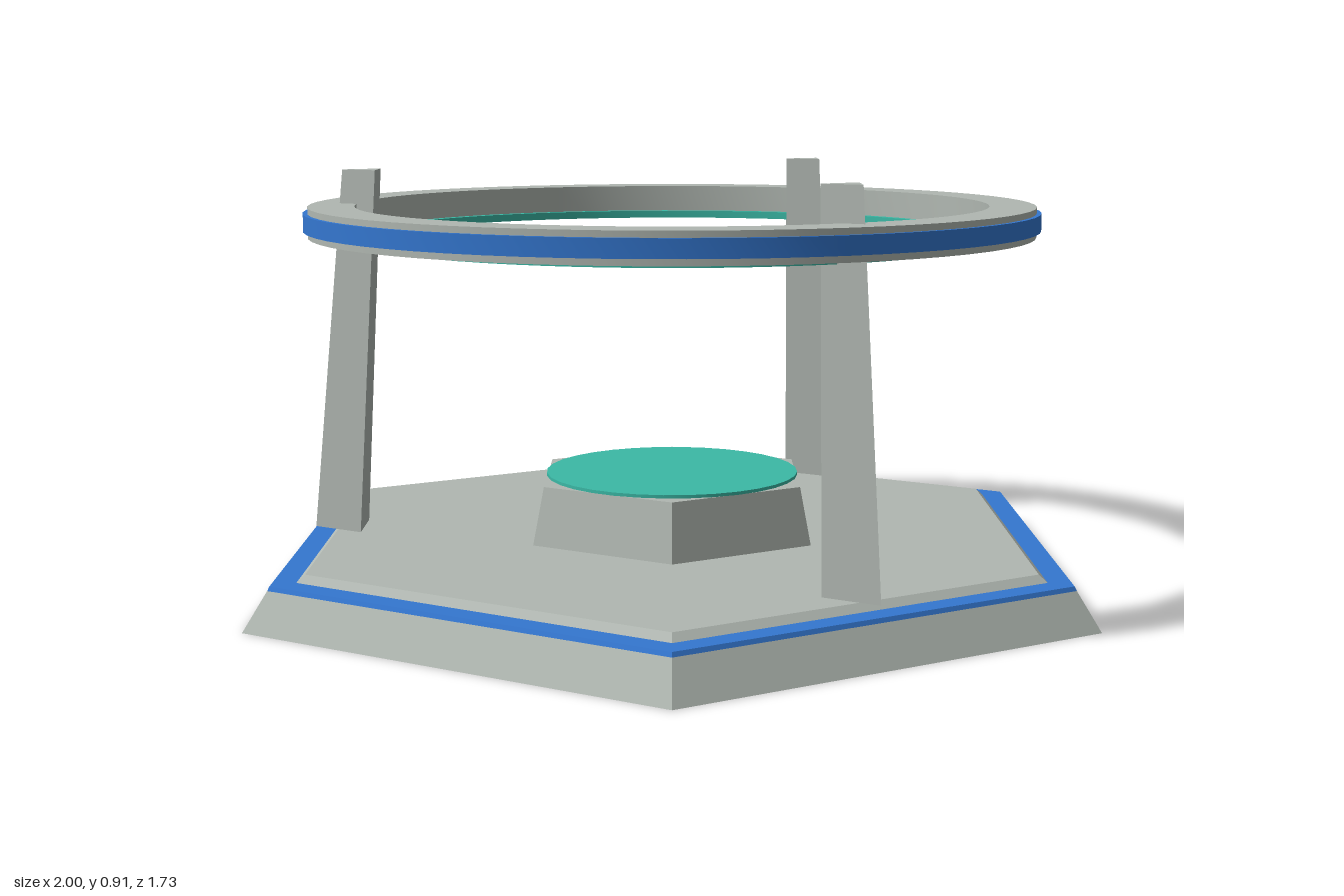
import * as THREE from 'three';
import { toCreasedNormals } from 'three/addons/utils/BufferGeometryUtils.js';

const material = (name, color) => {
  const m = new THREE.MeshStandardMaterial({ color });
  m.name = name;
  return m;
};

export function createModel() {
  const grey = material('stone grey', 0xb0b7b1);
  const blue = material('trim blue', 0x3477d0);
  const teal = material('glow teal', 0x3bb9a6);
  const model = new THREE.Group();
  model.name = 'hexagonalPlatform';

  const add = (name, geometry, mat) => {
    const mesh = new THREE.Mesh(toCreasedNormals(geometry, 0.4), mat);
    mesh.name = name;
    model.add(mesh);
    return mesh;
  };

  // Tapered prism between two heights
  const prism = (rBottom, rTop, y0, y1, sides) =>
    new THREE.CylinderGeometry(rTop, rBottom, y1 - y0, sides).translate(0, (y0 + y1) / 2, 0);
  // Hexagon with corners on the x axis
  const hex = (...args) => prism(...args, 6).rotateY(Math.PI / 6);
  // Hoop with a rectangular section
  const hoop = (rIn, rOut, y0, y1) => new THREE.LatheGeometry(
    [[rIn, y0], [rOut, y0], [rOut, y1], [rIn, y1], [rIn, y0]].map(p => new THREE.Vector2(...p)), 64);

  // Stepped base
  add('base', hex(1, 0.945, 0, 0.08), grey);
  add('baseTrim', hex(0.945, 0.94, 0.08, 0.089), blue);
  add('deck', hex(0.883, 0.864, 0.089, 0.104), grey);

  // Central pedestal with its pad
  add('pedestal', hex(0.347, 0.32, 0.104, 0.23), grey);
  add('pad', prism(0.28, 0.28, 0.23, 0.237, 32), teal);

  // Overhead ring
  add('ring', hoop(0.69, 0.79, 0.768, 0.833), grey);
  add('ringTrim', hoop(0.785, 0.8, 0.782, 0.82), blue);
  add('ringLight', hoop(0.665, 0.685, 0.755, 0.772), teal);

  // Three triangular pillars, sheared inwards towards the top
  const y0 = 0.108, y1 = 0.907, rBottom = 0.727, rTop = 0.671;
  for (let i = 0; i < 3; i++) {
    const angle = i * Math.PI * 2 / 3;
    const geometry = prism(0.073, 0.052, y0, y1, 3);
    const pos = geometry.attributes.position;
    for (let v = 0; v < pos.count; v++) {
      const r = THREE.MathUtils.mapLinear(pos.getY(v), y0, y1, rBottom, rTop);
      pos.setX(v, pos.getX(v) + r * Math.sin(angle));
      pos.setZ(v, pos.getZ(v) + r * Math.cos(angle));
    }
    add(['frontPillar', 'backLeftPillar', 'backRightPillar'][i], geometry, grey);
  }
  return model;
}
